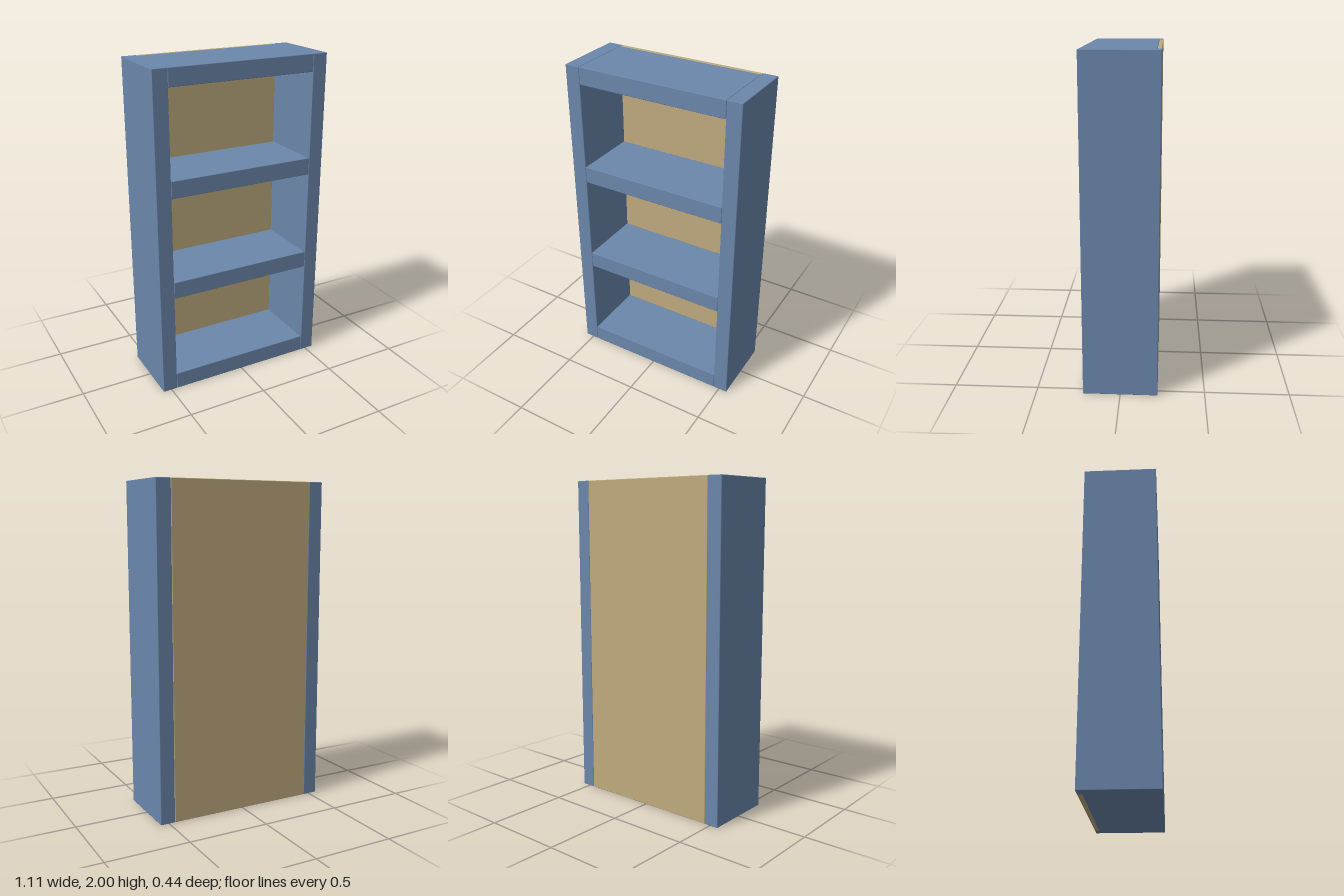
import * as THREE from 'three';
import { RoundedBoxGeometry } from 'three/addons/geometries/RoundedBoxGeometry.js';

const HEIGHT = 2;
const DEPTH = 0.442;
const HALF_WIDTH = 0.554;
const SIDE = 0.092;       // side panel thickness
const SHELF = 0.106;      // shelf thickness
const BACK = 0.025;       // back panel thickness
const BEVEL = 0.004;

export function createModel() {
  const group = new THREE.Group();
  group.name = 'bookcase';

  const paint = new THREE.MeshStandardMaterial({ color: 0x6b87ab });
  paint.name = 'blue paint';
  const board = new THREE.MeshStandardMaterial({ color: 0xbfab7e });
  board.name = 'tan board';

  // Board with a slight edge bevel
  const addBoard = (name, material, w, h, d, x, y, z) => {
    const mesh = new THREE.Mesh(new RoundedBoxGeometry(w, h, d, 1, BEVEL), material);
    mesh.name = name;
    mesh.position.set(x, y, z);
    group.add(mesh);
  };

  // Side panels
  for (const [name, s] of [['leftSide', 1], ['rightSide', -1]]) {
    addBoard(name, paint, SIDE, HEIGHT, DEPTH, s * (HALF_WIDTH - SIDE / 2), HEIGHT / 2, 0);
  }

  // Bottom, two shelves and top, evenly spaced
  const inner = 2 * (HALF_WIDTH - SIDE);
  const shelfDepth = DEPTH - BACK;
  ['bottom', 'lowerShelf', 'upperShelf', 'top'].forEach((name, i) => {
    const y = SHELF / 2 + i * (HEIGHT - SHELF) / 3;
    addBoard(name, paint, inner, SHELF, shelfDepth, 0, y, BACK / 2);
  });

  // Back panel, set between the sides
  addBoard('backPanel', board, inner, HEIGHT, BACK, 0, HEIGHT / 2, (BACK - DEPTH) / 2);

  return group;
}
